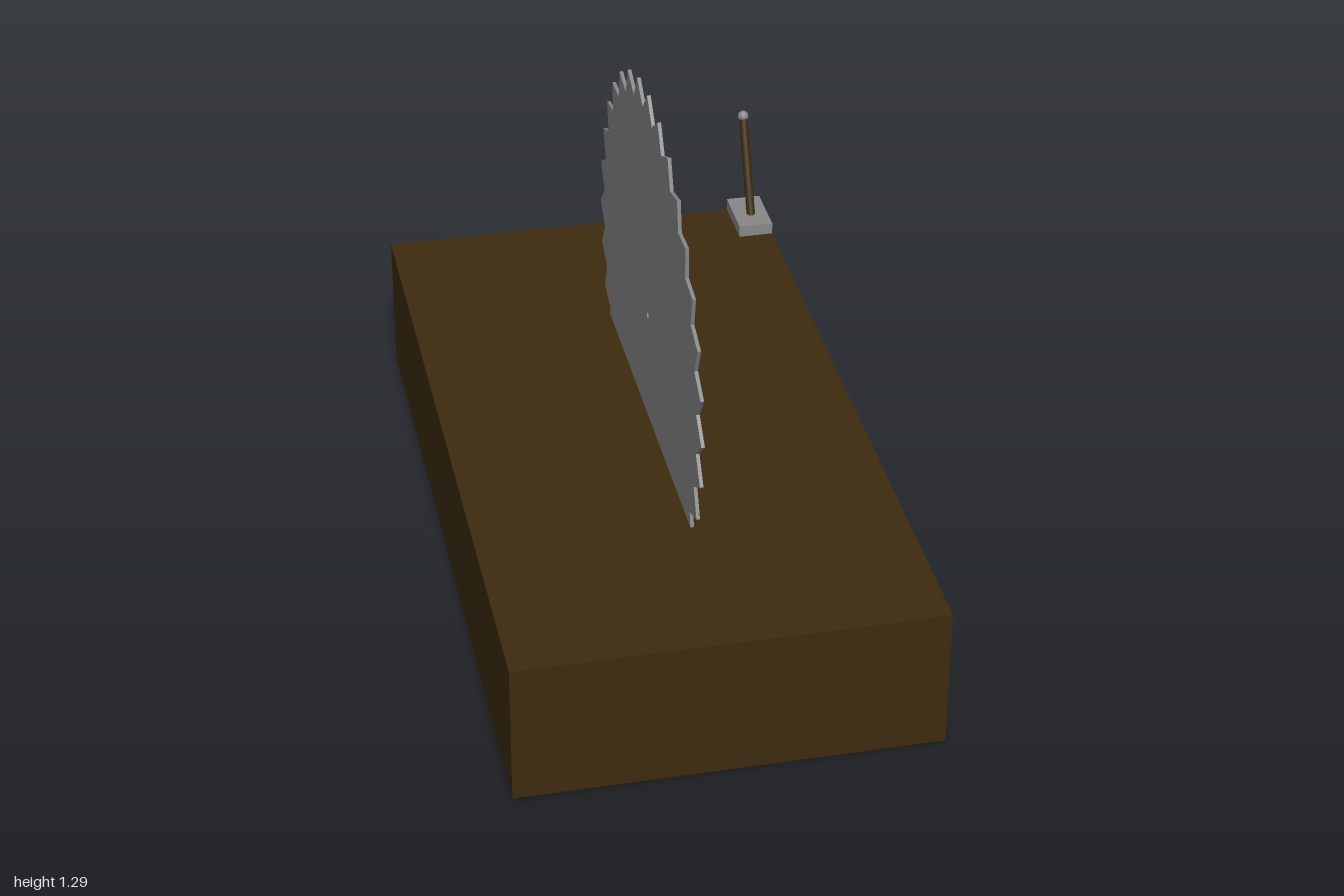
import * as THREE from 'three';

export function createModel() {
  const wood = new THREE.MeshStandardMaterial({ name: 'darkWood', color: 0x3d2b0f });
  const steel = new THREE.MeshStandardMaterial({ name: 'greySteel', color: 0x888888 });
  const group = new THREE.Group();
  group.name = 'tableSaw';

  const add = (name, geometry, material, x, y, z) => {
    const mesh = new THREE.Mesh(geometry, material);
    mesh.name = name;
    mesh.position.set(x, y, z);
    group.add(mesh);
    return mesh;
  };

  // Solid wooden table block
  add('table', new THREE.BoxGeometry(1.054, 0.375, 1.963), wood, -0.002, 0.1875, 0.0185);

  // Toothed blade: alternating tip and valley radii around a small arbor hole
  const teeth = 32, tipRadius = 0.62, valleyRadius = 0.564, thickness = 0.009;
  const outline = [];
  for (let i = 0; i < teeth * 2; i++) {
    const angle = (i / teeth) * Math.PI + 0.015;
    const r = i % 2 ? valleyRadius : tipRadius;
    outline.push(new THREE.Vector2(Math.cos(angle) * r, Math.sin(angle) * r));
  }
  const profile = new THREE.Shape(outline);
  profile.holes.push(new THREE.Path().absarc(0, 0, 0.009, 0, Math.PI * 2, true));
  const blade = new THREE.ExtrudeGeometry(profile, { depth: thickness, bevelEnabled: false, curveSegments: 8 });
  blade.translate(0, 0, -thickness / 2);
  blade.rotateY(-Math.PI / 2);
  add('sawBlade', blade, steel, 0.003, 0.672, 0.02);

  // Switch plate on the back corner
  add('switchPlate', new THREE.BoxGeometry(0.094, 0.032, 0.16), steel, 0.479, 0.391, -0.884);

  // Lever leaning back, with a round knob
  const foot = new THREE.Vector3(0.48, 0.395, -0.867);
  const top = new THREE.Vector3(0.48, 0.658, -0.985);
  const along = top.clone().sub(foot);
  const middle = foot.clone().add(top).multiplyScalar(0.5);
  const lever = add('lever', new THREE.CylinderGeometry(0.012, 0.012, along.length(), 20), wood, middle.x, middle.y, middle.z);
  lever.quaternion.setFromUnitVectors(new THREE.Vector3(0, 1, 0), along.normalize());
  add('leverKnob', new THREE.SphereGeometry(0.015, 20, 14), steel, top.x, top.y, top.z);

  return group;
}
